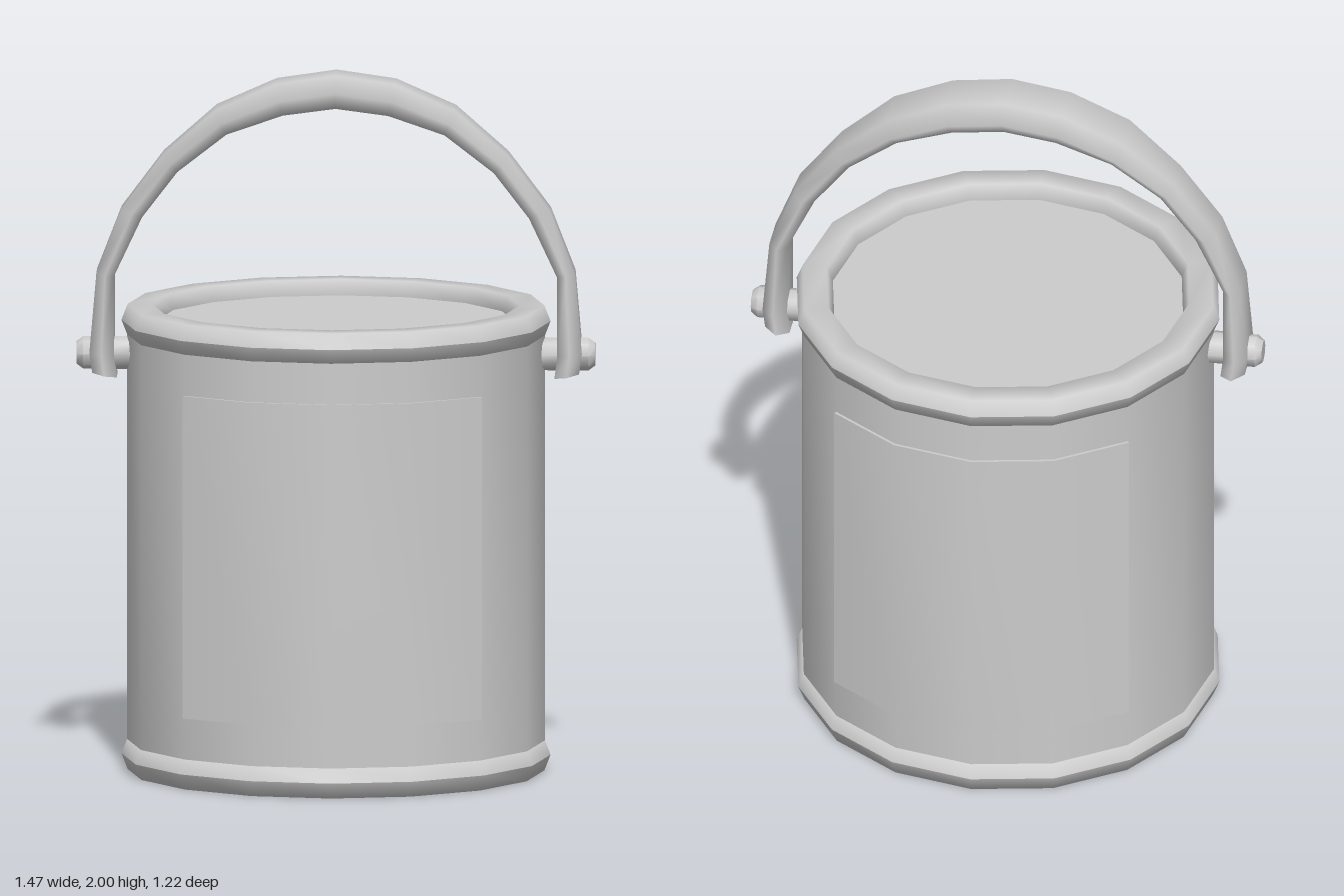
import * as THREE from 'three';
import { toCreasedNormals } from 'three/addons/utils/BufferGeometryUtils.js';

const SIDES = 16;
const grey = new THREE.MeshStandardMaterial({ color: 0xcccccc });
const greyThin = new THREE.MeshStandardMaterial({ color: 0xcccccc, side: THREE.DoubleSide });

const lathe = (points, sides = SIDES, start = 0, length = Math.PI * 2) =>
  new THREE.LatheGeometry(points.map(([r, y]) => new THREE.Vector2(r, y)), sides, start, length);

function part(parent, name, geometry, material = grey) {
  const mesh = new THREE.Mesh(geometry, material);
  mesh.name = name;
  parent.add(mesh);
  return mesh;
}

// Smooth ring with a six-sided section
function rimGeometry(y) {
  const mid = 0.5575, w = 0.0525, f = 0.035, h = 0.045;
  return lathe([
    [mid + w, y], [mid + f, y + h], [mid - f, y + h], [mid - w, y],
    [mid - f, y - h], [mid + f, y - h], [mid + w, y],
  ]);
}

// Arched grip: six-sided sections between an outer and an inner outline
function handleGeometry() {
  // outer x, y, inner x, y, half width, from the middle down one side
  const half = [
    [0, 2, 0, 1.905, 0.105],
    [0.17, 1.975, 0.15, 1.885, 0.105],
    [0.34, 1.9, 0.31, 1.83, 0.105],
    [0.49, 1.77, 0.45, 1.72, 0.082],
    [0.61, 1.61, 0.55, 1.59, 0.08],
    [0.68, 1.43, 0.63, 1.42, 0.08],
    [0.7, 1.2, 0.63, 1.19, 0.08],
    [0.692, 1.143, 0.622, 1.13, 0.08],
  ];
  const left = half.slice(1).reverse().map(([a, b, c, d, w]) => [-a, b, -c, d, w]);
  const sections = [...left, ...half];
  const last = sections.length - 1;
  const rings = [[0, 0], [0, 1], ...sections.map((_, i) => [i, 1]), [last, 1], [last, 0]];
  const section = [[1, 0], [0.62, 1], [-0.62, 1], [-1, 0], [-0.62, -1], [0.62, -1]];
  const positions = [], index = [];
  rings.forEach(([i, scale], r) => {
    const [ox, oy, ix, iy, w] = sections[i];
    section.forEach(([sz, so], k) => {
      const t = so * scale / 2;
      positions.push((ox + ix) / 2 + (ox - ix) * t, (oy + iy) / 2 + (oy - iy) * t, sz * w * scale);
      // the doubled end rings keep the caps sharp
      if (r === rings.length - 1 || r === 1 || r === rings.length - 3) return;
      const n = (k + 1) % 6, a = r * 6 + k, b = r * 6 + n;
      index.push(a, a + 6, b, a + 6, b + 6, b);
    });
  });
  const geometry = new THREE.BufferGeometry();
  geometry.setAttribute('position', new THREE.Float32BufferAttribute(positions, 3));
  geometry.setIndex(index);
  geometry.computeVertexNormals();
  return geometry;
}

export function createModel() {
  const model = new THREE.Group();
  model.name = 'paintBucket';

  // Can with recessed lid and base
  const can = lathe([[0, 0.045], [0.594, 0.045], [0.594, 1.29], [0, 1.29]]);
  part(model, 'can', toCreasedNormals(can, 0.6));
  part(model, 'topRim', rimGeometry(1.289));
  part(model, 'bottomRim', rimGeometry(0.045));

  // Raised label panels, front and back
  const panel = [[0.592, 0.205], [0.602, 0.205], [0.602, 1.13], [0.592, 1.13]];
  for (const [name, angle] of [['frontLabel', 0], ['backLabel', Math.PI]]) {
    const geometry = lathe(panel, 4, angle - Math.PI / 4, Math.PI / 2);
    part(model, name, toCreasedNormals(geometry, 0.6), greyThin);
  }

  // Handle and its pivot pins
  part(model, 'handle', handleGeometry());
  const pin = lathe([[0, 0.57], [0.047, 0.57], [0.047, 0.718], [0.033, 0.737], [0, 0.737]], 8);
  const pinGeometry = toCreasedNormals(pin, 0.9);
  for (const [name, s] of [['leftPin', 1], ['rightPin', -1]]) {
    const mesh = part(model, name, pinGeometry);
    mesh.rotation.z = -s * Math.PI / 2;
    mesh.position.y = 1.195;
  }
  return model;
}
